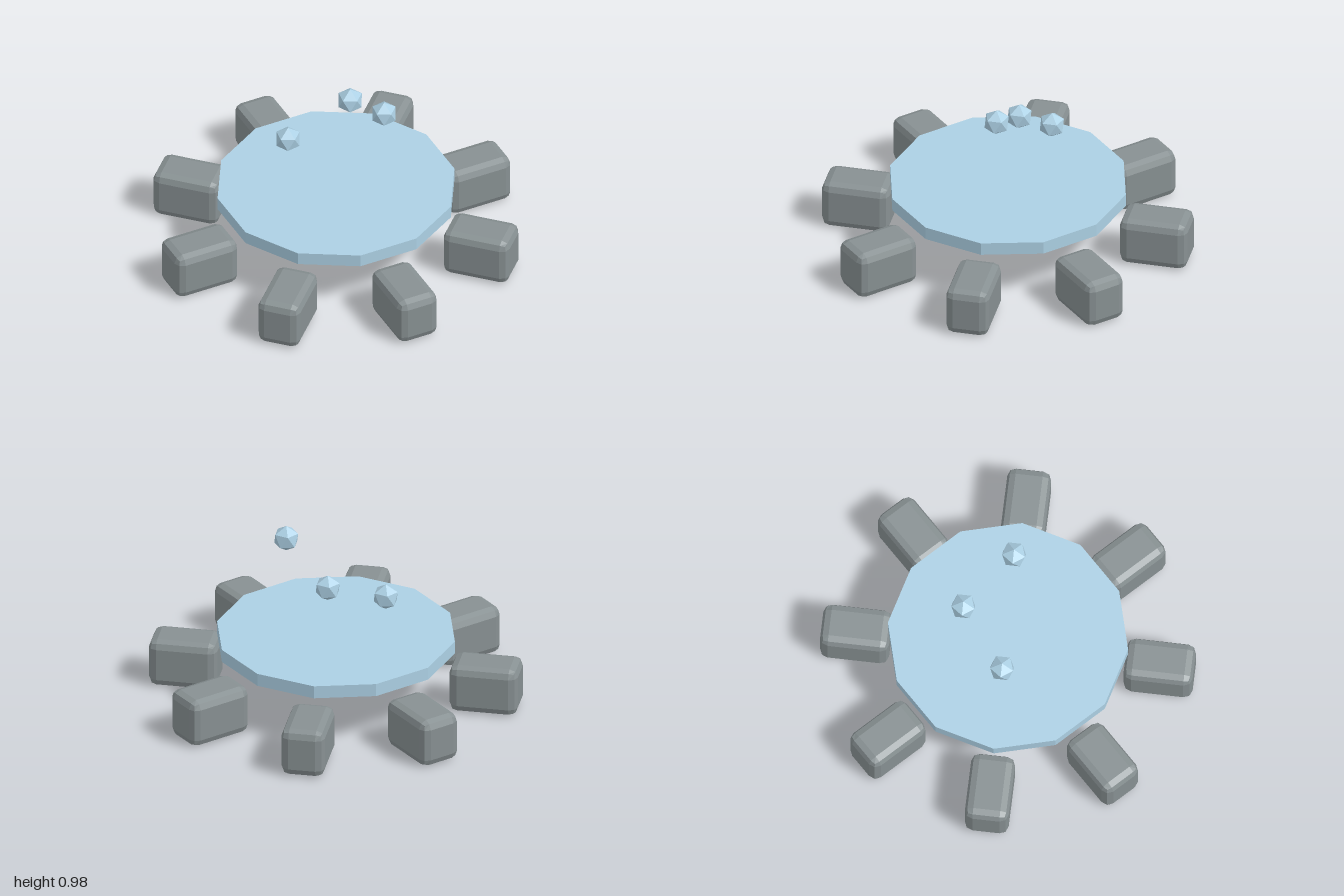
import * as THREE from 'three';
import { RoundedBoxGeometry } from 'three/addons/geometries/RoundedBoxGeometry.js';

const stone = new THREE.MeshStandardMaterial({ color: 0x879092, flatShading: true });
const ice = new THREE.MeshStandardMaterial({ color: 0xacd0e4, flatShading: true });

function addMesh(parent, name, geometry, material, x, y, z) {
  const mesh = new THREE.Mesh(geometry, material);
  mesh.name = name;
  mesh.position.set(x, y, z);
  parent.add(mesh);
  return mesh;
}

export function createModel() {
  const model = new THREE.Group();
  model.name = 'stoneCircle';

  // Ring of eight bevelled stones, each pointing outward
  const stones = new THREE.Group();
  stones.name = 'stoneRing';
  model.add(stones);
  const stoneGeometry = new RoundedBoxGeometry(0.37, 0.27, 0.235, 1, 0.045);
  for (let i = 0; i < 8; i++) {
    const a = (i * Math.PI) / 4;
    const block = addMesh(stones, 'stone', stoneGeometry, stone,
      0.815 * Math.cos(a), 0.135, -0.815 * Math.sin(a));
    block.rotation.y = a;
  }

  // Twelve-sided slab above the stones
  addMesh(model, 'slab', new THREE.CylinderGeometry(0.645, 0.645, 0.072, 12), ice, 0, 0.334, 0);

  // Floating crystals, each standing on a vertex
  const crystalGeometry = new THREE.IcosahedronGeometry(0.0725, 0);
  crystalGeometry.rotateZ(Math.atan(2 / (1 + Math.sqrt(5))));
  const crystals = [[-0.27, 0.605, 0], [0, 0.755, -0.24], [0.27, 0.905, 0]];
  for (const [x, y, z] of crystals) addMesh(model, 'crystal', crystalGeometry, ice, x, y, z);

  return model;
}
